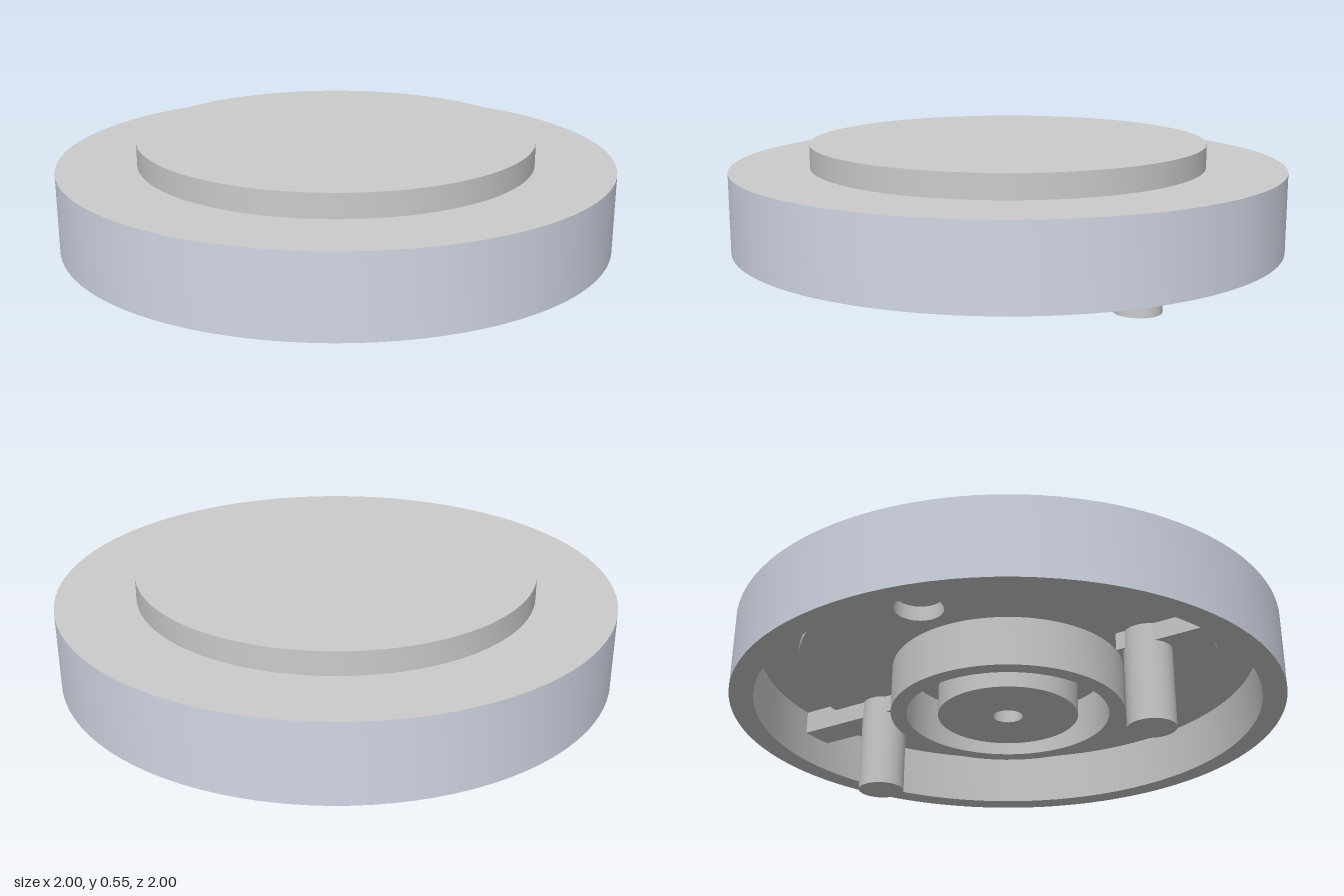
import * as THREE from 'three';
import { toCreasedNormals } from 'three/addons/utils/BufferGeometryUtils.js';

const SEG = 96;
const BOTTOM = 0.175, TOP = 0.46, FLOOR = 0.378, PLATE = 0.355, POCKET = 0.41;
const PIN_RADIUS = 0.085, PIN_ORBIT = 0.57, PIN_ANGLE = Math.atan2(0.29, 0.49);

export function createModel() {
  const model = new THREE.Group();
  const grey = new THREE.MeshStandardMaterial({ color: 0xcccccc });
  const paleBlue = new THREE.MeshStandardMaterial({ color: 0xd2d7e5 });

  const add = (name, geometry, material = grey, parent = model) => {
    const mesh = new THREE.Mesh(geometry, material);
    mesh.name = name;
    parent.add(mesh);
    return mesh;
  };
  const lathe = (profile) => toCreasedNormals(
    new THREE.LatheGeometry(profile.map(([r, y]) => new THREE.Vector2(r, y)), SEG), 0.5);

  // Tinted outer wall
  add('outerBand', lathe([[1, BOTTOM], [1, TOP]]), paleBlue);

  // Shell: stepped top, hollow underside and rim
  add('capShell', lathe([
    [1, TOP], [0.715, TOP], [0.715, 0.545], [0, 0.545],
  ]));
  add('underside', lathe([
    [0, POCKET], [0.77, POCKET], [0.77, FLOOR], [0.915, FLOOR], [0.915, BOTTOM], [1, BOTTOM],
  ]));

  // Raised plate under the cap with two round pockets
  const plate = new THREE.Shape().absarc(0, 0, 0.77, 0, Math.PI * 2);
  for (const side of [1, -1]) {
    const a = PIN_ANGLE + side * Math.PI / 2;
    plate.holes.push(new THREE.Path().absarc(
      PIN_ORBIT * Math.cos(a), PIN_ORBIT * Math.sin(a), PIN_RADIUS, 0, Math.PI * 2, true));
  }
  const plateGeometry = new THREE.ExtrudeGeometry(plate, {
    depth: POCKET - PLATE, bevelEnabled: false, curveSegments: SEG,
  }).rotateX(-Math.PI / 2).translate(0, PLATE, 0);
  add('innerPlate', toCreasedNormals(plateGeometry, 0.5));

  // Concentric hub: outer ring and bored centre boss
  const tube = (inner, outer) => lathe([
    [inner, PLATE], [inner, BOTTOM], [outer, BOTTOM], [outer, PLATE],
  ]);
  add('hubRing', tube(0.37, 0.428));
  add('centreBoss', tube(0.054, 0.256));

  // Opposed pins, each braced to the rim by a radial rib
  for (const turn of [0, Math.PI]) {
    const arm = new THREE.Group();
    arm.name = 'pinAndRib';
    arm.rotation.y = PIN_ANGLE + turn;
    model.add(arm);
    add('pin', new THREE.CylinderGeometry(PIN_RADIUS, PIN_RADIUS, PLATE + 0.01, 48), grey, arm)
      .position.set(PIN_ORBIT, (PLATE + 0.01) / 2, 0);
    add('rib', new THREE.BoxGeometry(0.44, 0.1, 0.13), grey, arm)
      .position.set(0.70, 0.34, 0);
  }
  return model;
}
